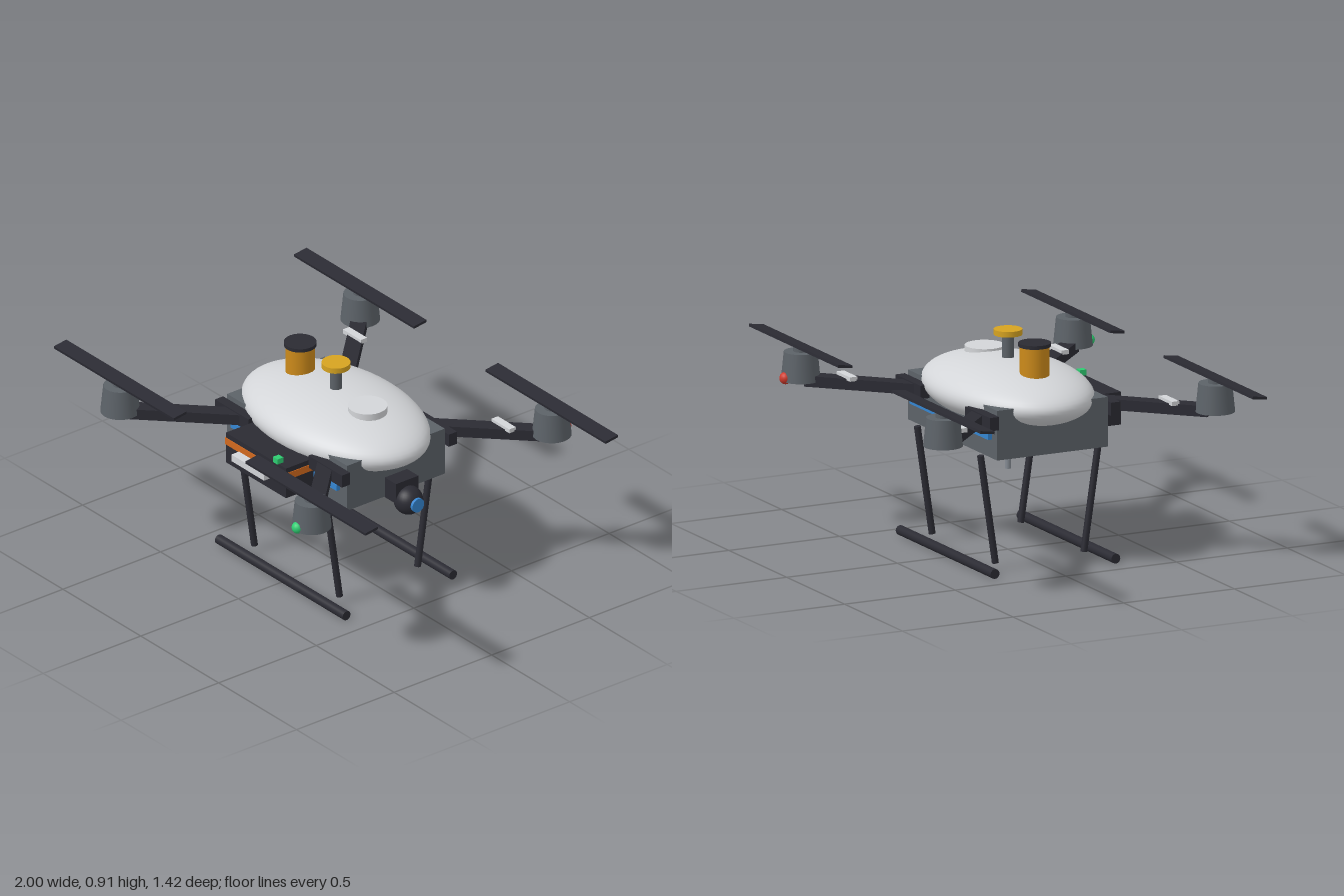
import * as THREE from 'three';

const mat = (name, color) => {
  const m = new THREE.MeshStandardMaterial({ color });
  m.name = name;
  return m;
};

export function createModel() {
  const model = new THREE.Group();
  model.name = 'quadcopter';

  const shell = mat('shellGrey', 0xd3d5d8);
  const dark = mat('carbonBlack', 0x2b2b33);
  const grey = mat('frameGrey', 0x5c6268);
  const steel = mat('steelGrey', 0x858b93);
  const gold = mat('gold', 0xd6a321);
  const amber = mat('amber', 0xcc8a1a);
  const orange = mat('orange', 0xd2691e);
  const blue = mat('blue', 0x3585d0);
  const green = mat('green', 0x2ecc71);
  const red = mat('red', 0xd0392b);

  const add = (name, geo, material, x, y, z, parent = model) => {
    const m = new THREE.Mesh(geo, material);
    m.name = name;
    m.position.set(x, y, z);
    parent.add(m);
    return m;
  };
  const box = (name, w, h, d, material, x, y, z, parent) =>
    add(name, new THREE.BoxGeometry(w, h, d), material, x, y, z, parent);
  const cyl = (name, rTop, rBottom, h, material, x, y, z, parent) =>
    add(name, new THREE.CylinderGeometry(rTop, rBottom, h, 24), material, x, y, z, parent);
  // Round bar between two points
  const bar = (name, a, b, r, material) => {
    const dir = b.clone().sub(a);
    const mid = a.clone().add(b).multiplyScalar(0.5);
    const m = cyl(name, r, r, dir.length(), material, mid.x, mid.y, mid.z);
    m.quaternion.setFromUnitVectors(new THREE.Vector3(0, 1, 0), dir.normalize());
  };

  // Fuselage and canopy
  box('body', 0.77, 0.205, 0.5, grey, 0, 0.5825, 0);
  add('canopy', new THREE.SphereGeometry(1, 48, 32), shell, 0, 0.67, 0).scale.set(0.475, 0.125, 0.305);

  // Instruments on top of the canopy
  cyl('scannerBody', 0.06, 0.06, 0.14, amber, -0.23, 0.82, 0);
  cyl('scannerCap', 0.066, 0.066, 0.015, dark, -0.23, 0.8975, 0);
  cyl('antennaMast', 0.025, 0.025, 0.11, grey, 0, 0.835, 0);
  cyl('antennaDisc', 0.058, 0.058, 0.023, gold, 0, 0.899, 0);
  cyl('topHatch', 0.08, 0.08, 0.035, shell, 0.203, 0.7825, 0);

  // Battery pack with orange band, plug and status light
  box('battery', 0.386, 0.135, 0.165, dark, 0, 0.5775, 0.3275);
  box('batteryBand', 0.392, 0.03, 0.167, orange, 0, 0.608, 0.3295);
  box('batteryPlug', 0.21, 0.03, 0.045, shell, 0, 0.582, 0.43);
  box('statusLight', 0.03, 0.024, 0.03, green, 0.13, 0.656, 0.4);

  // Camera on the left end
  box('cameraBracket', 0.075, 0.09, 0.114, dark, 0.42, 0.522, 0);
  add('cameraBall', new THREE.SphereGeometry(0.06, 28, 20), dark, 0.465, 0.48, 0);
  cyl('cameraLens', 0.03, 0.03, 0.02, blue, 0.519, 0.48, 0).rotation.z = -Math.PI / 2;

  // Belly sensors
  cyl('bellySensor', 0.093, 0.093, 0.09, steel, 0, 0.445, 0);
  cyl('bellyLens', 0.065, 0.065, 0.006, amber, 0, 0.399, 0);
  cyl('bellyProbe', 0.013, 0.013, 0.07, steel, 0, 0.37, 0);
  cyl('rangeFinder', 0.043, 0.043, 0.06, dark, 0.253, 0.46, 0);

  for (const sz of [1, -1]) {
    box('sideStripe', 0.68, 0.026, 0.02, blue, 0, 0.57, sz * 0.258);
    // Landing gear
    bar('skid', new THREE.Vector3(-0.41, 0.02, sz * 0.273), new THREE.Vector3(0.41, 0.02, sz * 0.273), 0.02, dark);

    for (const sx of [1, -1]) {
      bar('leg', new THREE.Vector3(sx * 0.273, 0.478, sz * 0.267), new THREE.Vector3(sx * 0.273, 0.028, sz * 0.2), 0.014, dark);

      // Arm with its hinge and clamp
      box('armHinge', 0.215, 0.055, 0.042, dark, sx * 0.3, 0.638, sz * 0.274);
      const arm = box('arm', 0.52, 0.045, 0.065, dark, sx * 0.414, 0.638, sz * 0.414);
      arm.rotation.y = -sx * sz * Math.PI / 4;
      box('armClamp', 0.115, 0.018, 0.033, shell, sx * 0.477, 0.664, sz * 0.478);

      // Motor and propeller
      const rotor = new THREE.Group();
      rotor.name = 'rotor';
      rotor.position.set(sx * 0.615, 0, sz * 0.615);
      model.add(rotor);
      cyl('motor', 0.068, 0.08, 0.118, grey, 0, 0.694, 0, rotor);
      cyl('motorHub', 0.03, 0.03, 0.022, grey, 0, 0.76, 0, rotor);
      box('propeller', 0.77, 0.011, 0.065, dark, 0, 0.774, 0, rotor).rotation.x = 0.14;
    }

    // Navigation lights on the left-hand motors
    add('navigationLight', new THREE.SphereGeometry(0.025, 16, 12), sz > 0 ? green : red, 0.613, 0.65, sz * 0.685);
  }

  return model;
}
